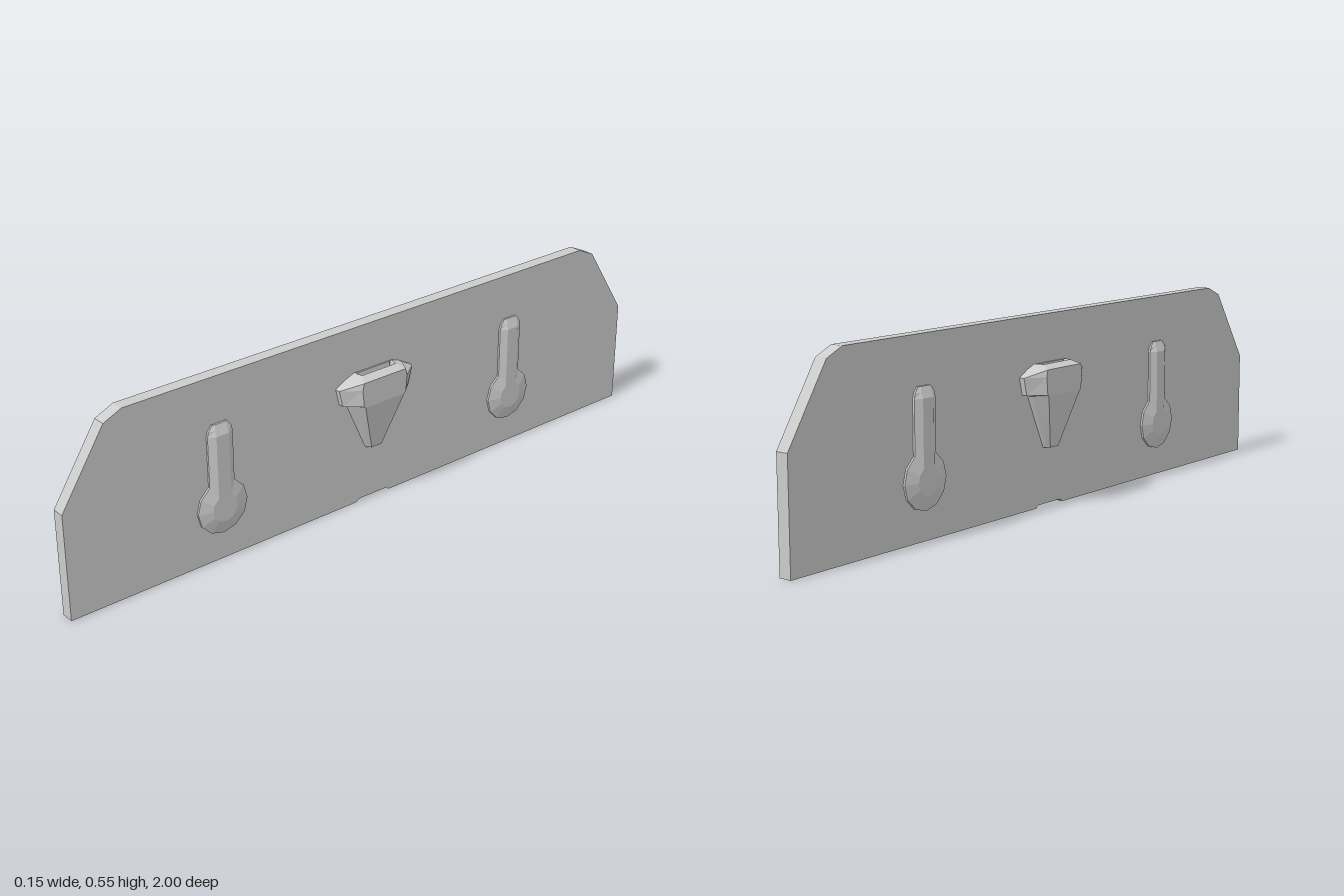
import * as THREE from 'three';

const mat = new THREE.MeshStandardMaterial({ color: 0xcccccc, flatShading: true });

function mesh(name, geometry) {
  const m = new THREE.Mesh(geometry, mat);
  m.name = name;
  return m;
}

// Loft of half-octagon sections standing out of the +x face.
// Each row: [y, half width at plate, x of shoulder, half width of outer face, x of outer face]
function loft(rows) {
  const rings = rows.map(([y, a, s, b, d]) =>
    [[0.015, a], [s, a], [d, b], [d, -b], [s, -a], [0.015, -a]].map(([x, z]) => [x, y, z]));
  const pos = [];
  for (let r = 0; r < rings.length - 1; r++) {
    const lo = rings[r], hi = rings[r + 1];
    for (let i = 0; i < 5; i++) {
      pos.push(...lo[i], ...lo[i + 1], ...hi[i + 1], ...lo[i], ...hi[i + 1], ...hi[i]);
    }
  }
  const g = new THREE.BufferGeometry();
  g.setAttribute('position', new THREE.Float32BufferAttribute(pos, 3));
  g.computeVertexNormals();
  return g;
}

// Long plate with clipped upper corners and a shallow relief under its middle
function makePlate() {
  const half = [[0.05, 0.008], [0.06, 0], [1, 0], [1, 0.31], [0.865, 0.52], [0.81, 0.545]];
  const outline = [...half, ...half.map(([z, y]) => [-z, y]).reverse()];
  const shape = new THREE.Shape(outline.map(([z, y]) => new THREE.Vector2(z, y)));
  const g = new THREE.ExtrudeGeometry(shape, { depth: 0.038, bevelEnabled: false });
  g.translate(0, 0, -0.019);
  g.rotateY(-Math.PI / 2);
  return mesh('plate', g);
}

// Raised keyhole: faceted round boss with a bevelled stem above it
function makeKeyhole() {
  const group = new THREE.Group();
  group.name = 'keyhole';
  const profile = [[0.08, 0.015], [0.08, 0.025], [0.04, 0.037], [0, 0.037]];
  const disc = new THREE.LatheGeometry(profile.map(([r, h]) => new THREE.Vector2(r, h)), 12);
  disc.rotateZ(-Math.PI / 2);
  disc.translate(0, 0.162, 0);
  group.add(mesh('keyholeBoss', disc));
  group.add(mesh('keyholeStem', loft([
    [0.17, 0.04, 0.025, 0.02, 0.037],
    [0.38, 0.04, 0.025, 0.02, 0.037],
    [0.395, 0.036, 0.025, 0.02, 0.031],
    [0.41, 0.024, 0.023, 0.015, 0.025],
    [0.41, 0.024, 0.015, 0.015, 0.015],
  ])));
  return group;
}

// Tapered centre bracket with a wider band and a grooved top
function makeBracket() {
  return mesh('bracket', loft([
    [0.17, 0.022, 0.015, 0.015, 0.015],
    [0.17, 0.028, 0.025, 0.018, 0.037],
    [0.325, 0.097, 0.035, 0.07, 0.073],
    [0.33, 0.12, 0.035, 0.075, 0.073],
    [0.38, 0.132, 0.035, 0.08, 0.073],
    [0.4, 0.095, 0.033, 0.075, 0.073],
    [0.411, 0.065, 0.03, 0.06, 0.047],
    [0.395, 0.062, 0.028, 0.058, 0.043],
    [0.395, 0.062, 0.022, 0.058, 0.025],
    [0.41, 0.06, 0.02, 0.056, 0.024],
    [0.41, 0.06, 0.015, 0.056, 0.015],
  ]));
}

export function createModel() {
  const model = new THREE.Group();
  model.name = 'bladePlate';
  model.add(makePlate());
  // Same relief on both faces
  for (const side of [0, 1]) {
    const relief = new THREE.Group();
    relief.name = side ? 'rightRelief' : 'leftRelief';
    relief.add(makeBracket());
    for (const z of [-0.523, 0.523]) {
      const k = makeKeyhole();
      k.position.z = z;
      relief.add(k);
    }
    relief.rotation.y = side * Math.PI;
    model.add(relief);
  }
  return model;
}
